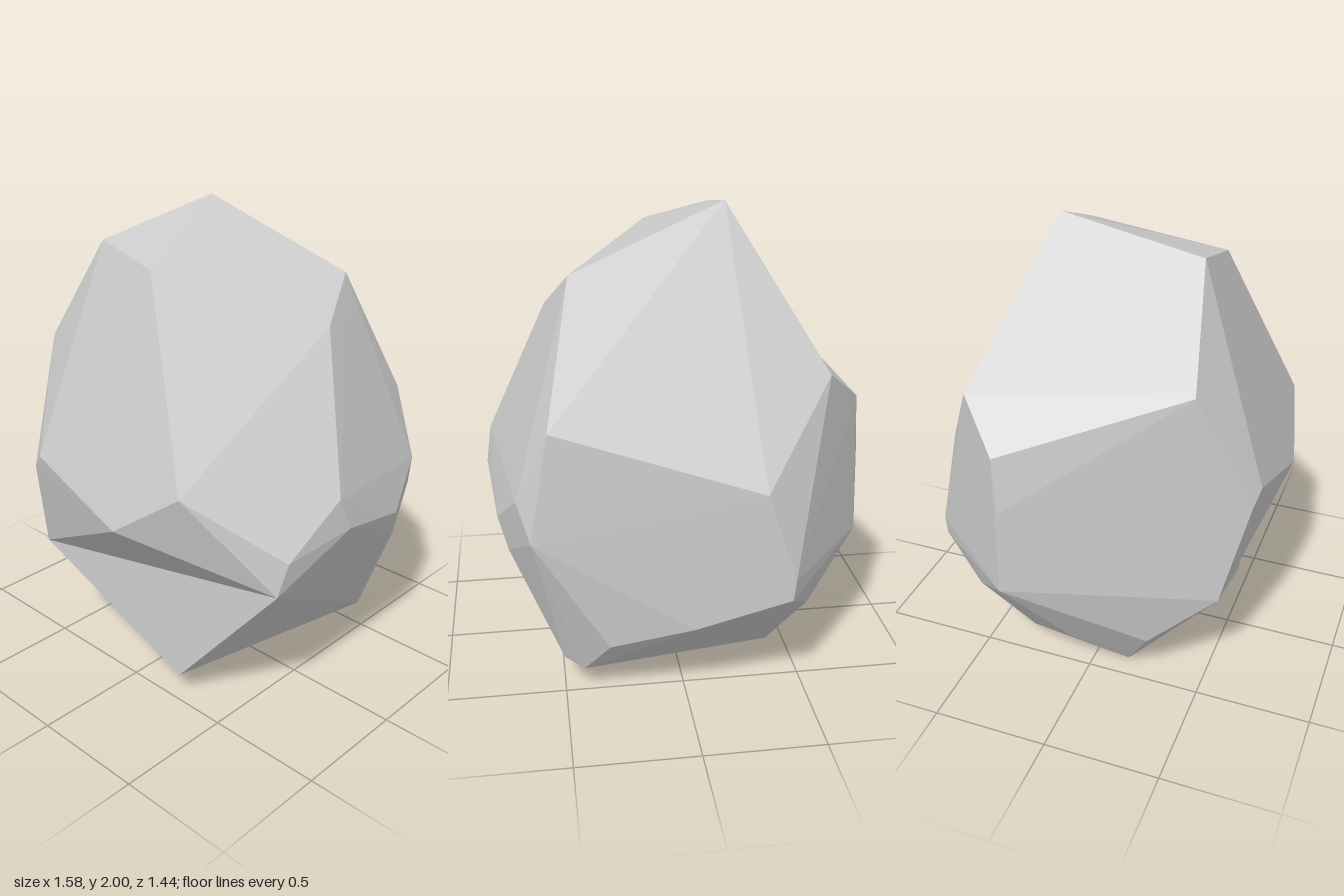
import * as THREE from 'three';
import { ConvexGeometry } from 'three/addons/geometries/ConvexGeometry.js';

const v = (x, y, z) => new THREE.Vector3(x, y, z);

// Corners that also take part in the shallow hollows
const apex = v(-0.2, 2, -0.2), frontPeak = v(-0.23, 1.9, 0.39);
const leftRim = v(-0.76, 1.19, -0.28);
const brow = v(0.14, 0.86, 0.72), browCorner = v(0.43, 1.07, 0.64), frontFoot = v(0.26, 0.11, 0.48);

const corners = [
  // crown
  apex, frontPeak, v(0.05, 1.83, 0.4), v(0.43, 1.75, -0.33), v(0.52, 1.59, -0.12),
  // shoulders
  v(-0.5, 1.46, 0.45), v(-0.59, 1.35, -0.47), leftRim, v(-0.46, 1.3, 0.52), v(0.54, 1.21, -0.6),
  // widest belt
  brow, v(-0.34, 1.02, 0.69), v(-0.4, 0.95, 0.67), browCorner,
  v(0.77, 0.99, 0.09), v(0.79, 0.85, 0.04), v(0.74, 0.8, 0.36), v(0.75, 0.76, -0.34),
  v(0.67, 0.92, -0.56), v(0.62, 0.76, -0.62), v(-0.3, 0.95, -0.7), v(-0.78, 0.95, -0.26),
  // lower sides
  v(-0.48, 0.52, 0.57), v(0.72, 0.66, 0.4), v(0.71, 0.63, -0.39), v(0.32, 0.28, -0.63),
  v(-0.02, 0.37, -0.69), v(-0.42, 0.58, -0.72), v(-0.41, 0.49, -0.72),
  v(-0.79, 0.57, -0.27), v(-0.53, 0.25, 0.28), v(-0.53, 0.35, -0.5),
  // underside
  frontFoot, v(-0.4, 0, 0.15), v(-0.53, 0.17, -0.07), v(-0.4, 0.06, -0.31),
  v(0.5, 0.14, -0.46), v(0.42, 0.11, -0.51),
];

// Split the triangle soup of the hull into corner triples
function trianglesOf(geometry) {
  const p = geometry.attributes.position, tris = [];
  for (let i = 0; i < p.count; i += 3) {
    tris.push([0, 1, 2].map((k) => new THREE.Vector3().fromBufferAttribute(p, i + k)));
  }
  return tris;
}

// Turn the ridge a-b into a valley by swapping the diagonal of its two triangles
function hollow(tris, a, b) {
  const has = (t, q) => t.some((c) => c.distanceTo(q) < 1e-5);
  const pair = tris.filter((t) => has(t, a) && has(t, b));
  if (pair.length !== 2) return tris;
  const other = (t) => t.find((c) => c.distanceTo(a) > 1e-5 && c.distanceTo(b) > 1e-5);
  const follows = (t) => {
    const i = t.findIndex((c) => c.distanceTo(a) < 1e-5);
    return t[(i + 1) % 3].distanceTo(b) < 1e-5;
  };
  const [first, second] = follows(pair[0]) ? pair : [pair[1], pair[0]];
  const c = other(first), d = other(second);
  return [...tris.filter((t) => !pair.includes(t)), [c, d, b], [d, c, a]];
}

export function createModel() {
  // Faceted boulder with hollows under the brow and along the left shoulder
  const ridges = [[browCorner, frontFoot], [brow, frontFoot], [apex, leftRim], [frontPeak, leftRim]];
  const tris = ridges.reduce((list, [a, b]) => hollow(list, a, b), trianglesOf(new ConvexGeometry(corners)));

  const geometry = new THREE.BufferGeometry().setFromPoints(tris.flat());
  geometry.computeVertexNormals();

  const boulder = new THREE.Mesh(
    geometry,
    new THREE.MeshStandardMaterial({ color: 0xcccccc, flatShading: true }),
  );
  boulder.name = 'boulder';

  const group = new THREE.Group();
  group.name = 'rock';
  group.add(boulder);
  return group;
}
